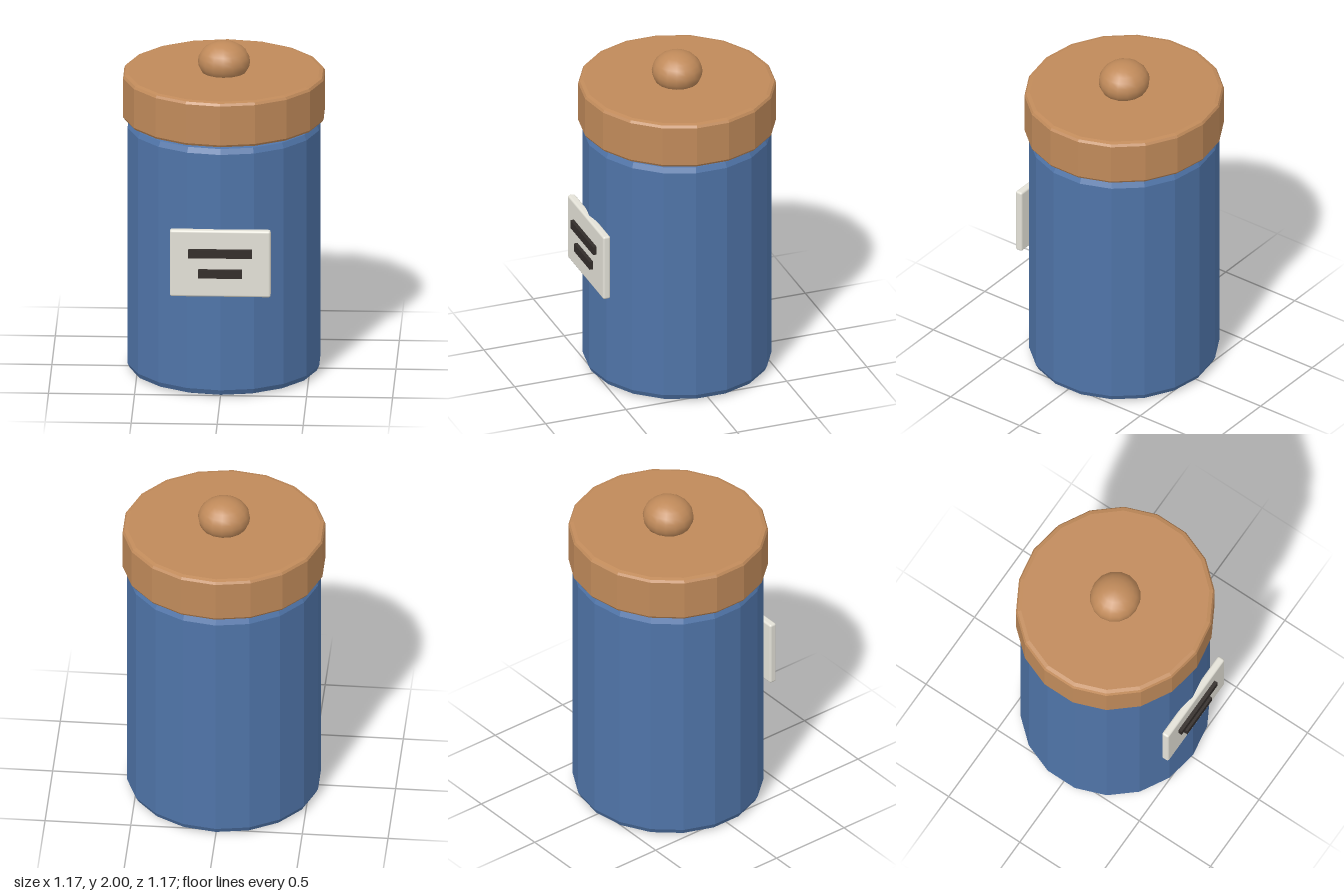
import * as THREE from 'three';
import { RoundedBoxGeometry } from 'three/addons/geometries/RoundedBoxGeometry.js';

const SIDES = 18;
const Z0 = -0.0105; // axis of the jar
const STRETCH = 1.033; // jar is slightly wider than deep

const paint = (color, flatShading = true) =>
  new THREE.MeshStandardMaterial({ color, flatShading });

// Solid faceted drum with bevelled rims: r radius, y0..y1 height, bx/by bevel inset and height
function drum(name, r, y0, y1, bx, by, material) {
  const profile = [
    [0, y0], [r - bx, y0], [r - bx * 0.3, y0 + by * 0.3], [r, y0 + by],
    [r, y1 - by], [r - bx * 0.3, y1 - by * 0.3], [r - bx, y1], [0, y1],
  ].map(([x, y]) => new THREE.Vector2(x, y));
  const mesh = new THREE.Mesh(new THREE.LatheGeometry(profile, SIDES), material);
  mesh.name = name;
  mesh.scale.x = STRETCH;
  mesh.position.z = Z0;
  return mesh;
}

export function createModel() {
  const jar = new THREE.Group();
  jar.name = 'canister';
  const wood = paint(0xc08a5a);

  // Body and lid
  jar.add(drum('body', 0.5475, 0, 1.54, 0.05, 0.045, paint(0x4f74a8)));
  jar.add(drum('lid', 0.573, 1.543, 1.822, 0.03, 0.02, wood));

  // Flattened round knob
  const knob = new THREE.Mesh(new THREE.SphereGeometry(1, 16, 12), paint(0xc08a5a, false));
  knob.name = 'knob';
  knob.scale.set(0.152, 0.118, 0.147);
  knob.position.set(0, 1.882, Z0);
  jar.add(knob);

  // Label plate on the front
  const plate = new THREE.Mesh(
    new RoundedBoxGeometry(0.586, 0.408, 0.046, 2, 0.013), paint(0xe4e2d8, false));
  plate.name = 'labelPlate';
  plate.position.set(0, 0.831, 0.538);
  jar.add(plate);

  // Two dark bars on the label
  const dark = paint(0x332d2a);
  for (const [name, width, y] of [['upperBar', 0.37, 0.898], ['lowerBar', 0.254, 0.774]]) {
    const bar = new THREE.Mesh(new THREE.BoxGeometry(width, 0.05, 0.034), dark);
    bar.name = name;
    bar.position.set(0, y, 0.566);
    jar.add(bar);
  }
  return jar;
}
